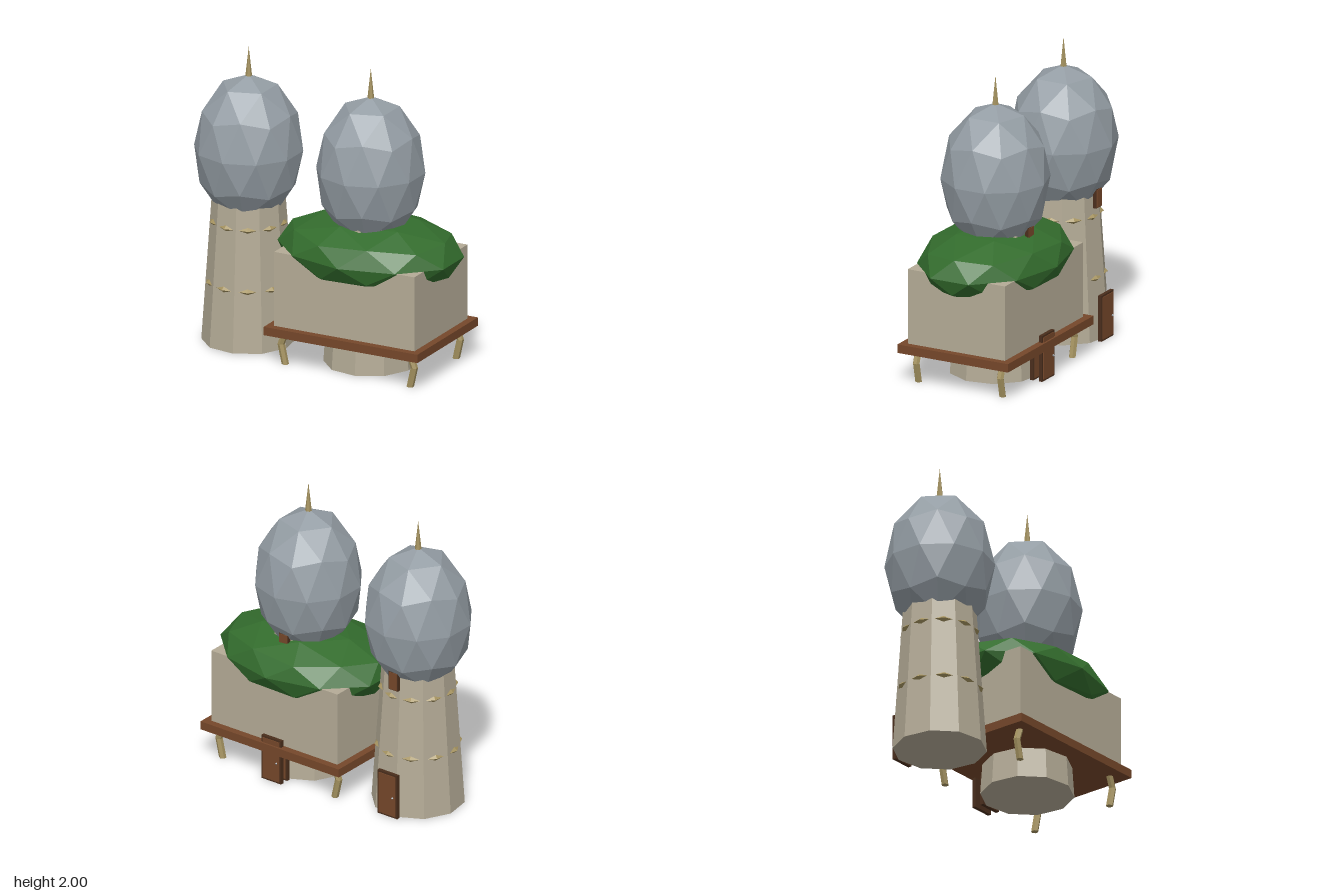
import * as THREE from 'three';

const mat = (name, color) => {
  const m = new THREE.MeshStandardMaterial({ color, flatShading: true });
  m.name = name;
  return m;
};

// Icosahedron standing on a vertex, split once and stretched to an ellipsoid
function facetedEllipsoid(rx, ry, rz) {
  const v = [0, 1, 0], f = [];
  const h = 1 / Math.sqrt(5), r = 2 * h;
  for (const [y, turn] of [[h, 0], [-h, 0.5]]) {
    for (let k = 0; k < 5; k++) {
      const a = Math.PI + (k + turn) * Math.PI * 0.4;
      v.push(r * Math.cos(a), y, -r * Math.sin(a));
    }
  }
  v.push(0, -1, 0);
  for (let k = 0; k < 5; k++) {
    const n = (k + 1) % 5, u = 1 + k, un = 1 + n, l = 6 + k, ln = 6 + n;
    f.push(0, u, un, u, l, un, l, ln, un, 11, ln, l);
  }
  return new THREE.PolyhedronGeometry(v, f, 1, 1).scale(rx, ry, rz);
}

// Leg: hexagonal cylinder whose middle ring is pushed outwards
function bentLeg(side) {
  const g = new THREE.CylinderGeometry(0.024, 0.024, 0.215, 6, 2);
  const p = g.attributes.position;
  for (let i = 0; i < p.count; i++) {
    if (Math.abs(p.getY(i)) < 0.01) {
      p.setX(i, p.getX(i) + side * 0.03);
      p.setY(i, 0.025);
    }
  }
  return g;
}

export function createModel() {
  const stone = mat('stone', 0xb4ab96);
  const slate = mat('slate', 0x949da4);
  const leaf = mat('leaf', 0x336c2d);
  const wood = mat('wood', 0x75472a);
  const darkWood = mat('darkWood', 0x4a2e1c);
  const tan = mat('tan', 0xa59360);

  const model = new THREE.Group();
  const add = (parent, name, geo, material, x = 0, y = 0, z = 0) => {
    const m = new THREE.Mesh(geo, material);
    m.name = name;
    m.position.set(x, y, z);
    parent.add(m);
    return m;
  };
  const box = (w, h, d) => new THREE.BoxGeometry(w, h, d);

  // Door: dark frame, lighter panel and knob, facing backwards
  const addDoor = (parent, name, w, h, y, z, knob) => {
    const door = new THREE.Group();
    door.name = name;
    door.position.set(0, y, z);
    add(door, 'doorFrame', box(w, h, 0.024), darkWood);
    add(door, 'doorPanel', box(w * 0.84, h * 0.92, 0.008), wood, 0, 0, -0.013);
    if (knob) add(door, 'doorKnob', new THREE.OctahedronGeometry(0.009), slate, -w * 0.3, -0.01, -0.022);
    parent.add(door);
  };

  // Two matching towers with domes and spires
  const addTower = (name, x) => {
    const tower = new THREE.Group();
    tower.name = name;
    tower.position.x = x;
    add(tower, 'shaft', new THREE.CylinderGeometry(0.237, 0.305, 1.0, 10, 1, false, Math.PI / 20), stone, 0, 0.505);
    add(tower, 'dome', facetedEllipsoid(0.357, 0.5, 0.357), slate, 0, 1.31);
    add(tower, 'spire', new THREE.ConeGeometry(0.024, 0.22, 6), tan, 0, 1.89);
    addDoor(tower, 'lowerDoor', 0.16, 0.31, 0.16, -0.313, true);
    addDoor(tower, 'upperDoor', 0.075, 0.13, 0.95, -0.25, false);
    model.add(tower);
    return tower;
  };
  const plainTower = addTower('plainTower', -0.583);
  const hallTower = addTower('hallTower', 0.31);
  addDoor(hallTower, 'outerDoor', 0.16, 0.31, 0.16, -0.378, true);

  // Rings of diamond studs, one on each face of the plain tower
  for (const [y, r] of [[0.415, 0.264], [0.825, 0.238]]) {
    for (let k = 0; k < 10; k++) {
      const a = (27 + 36 * k) * Math.PI / 180;
      const stud = add(plainTower, 'stud', new THREE.OctahedronGeometry(1).scale(0.058, 0.02, 0.022),
        tan, Math.sin(a) * r, y, Math.cos(a) * r);
      stud.rotation.y = a;
    }
  }

  // Raised hall with platform, legs and bush roof
  const hall = new THREE.Group();
  hall.name = 'hall';
  hall.position.x = 0.31;
  add(hall, 'hallWalls', box(1.026, 0.506, 0.716), stone, 0, 0.521);
  add(hall, 'platform', box(1.124, 0.057, 0.816), wood, 0, 0.241);
  add(hall, 'bush', facetedEllipsoid(0.638, 0.236, 0.456), leaf, 0, 0.774);
  for (const sx of [-1, 1]) {
    for (const sz of [-1, 1]) add(hall, 'leg', bentLeg(sx), tan, sx * 0.457, 0.112, sz * 0.31);
  }
  model.add(hall);
  return model;
}
